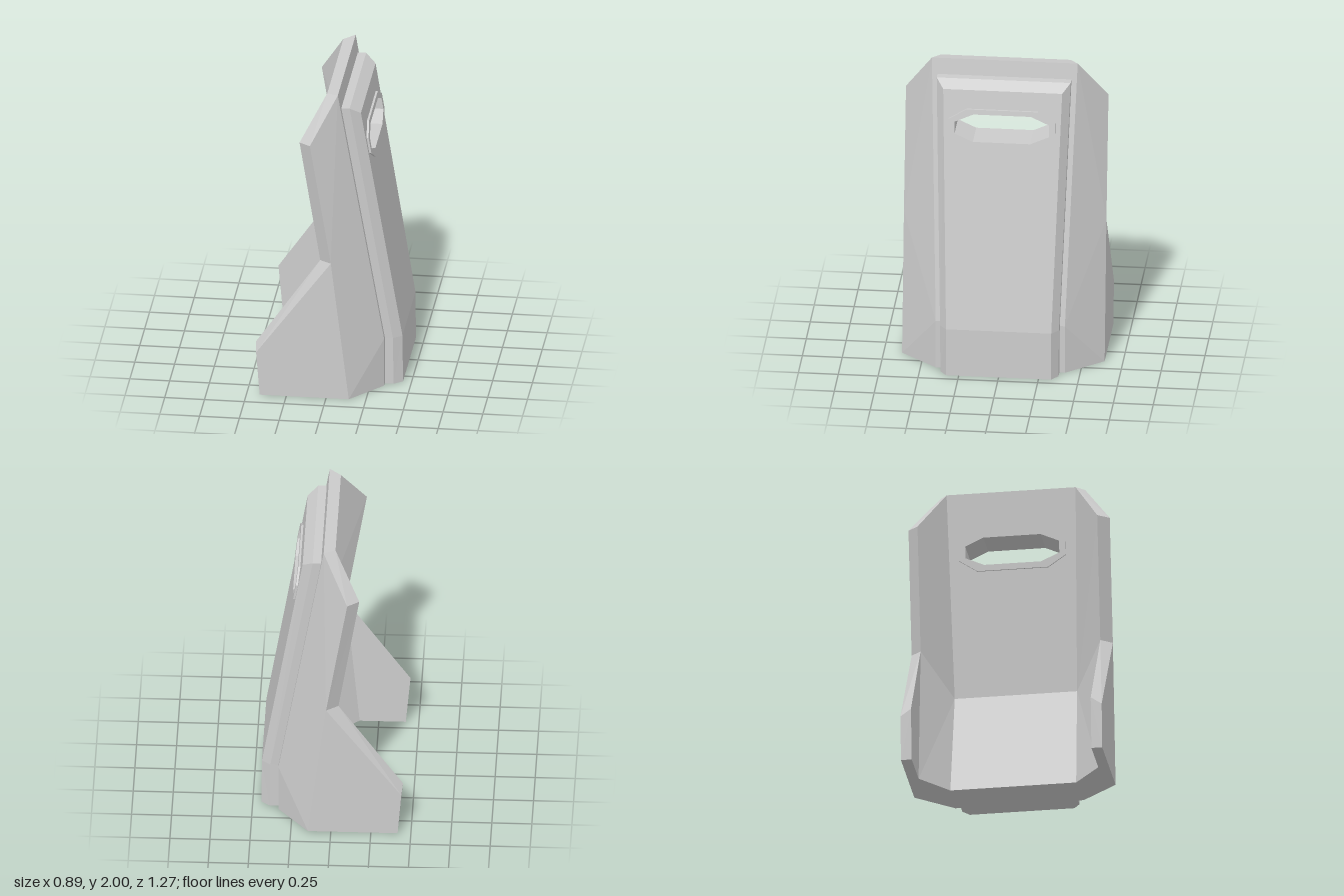
import * as THREE from 'three';

const mirror = p => [p[0], p[1], -p[2]];

// Collects polygons and turns them into one flat-shaded mesh
class Facets {
  constructor() { this.v = []; }
  // fan of triangles around the first point
  poly(...pts) {
    for (let i = 1; i < pts.length - 1; i++) this.v.push(...pts[0], ...pts[i], ...pts[i + 1]);
  }
  // polygon plus its copy on the other side of z = 0, split the same way
  pair(first, ...rest) {
    this.poly(first, ...rest);
    this.poly(mirror(first), ...rest.map(mirror).reverse());
  }
  // strip across the model between an edge and its mirror image
  span(a, b) { this.poly(a, b, mirror(b), mirror(a)); }
  // sloped face with a hole; x follows from y, dir is the x side it faces
  pierced(outline, hole, xOf, dir) {
    const to2 = p => new THREE.Vector2(-p[0], p[1]);
    const all = [...outline, ...hole];
    const tris = THREE.ShapeUtils.triangulateShape(outline.map(to2), [hole.map(to2)]);
    for (const t of tris) {
      const [a, b, c] = t.map(i => to2(all[i]));
      const area = (b.x - a.x) * (c.y - a.y) - (b.y - a.y) * (c.x - a.x);
      const pts = t.map(i => [xOf(all[i][1]), all[i][1], all[i][0]]);
      this.poly(...(area * dir > 0 ? pts : pts.reverse()));
    }
  }
  mesh(name) {
    const g = new THREE.BufferGeometry();
    g.setAttribute('position', new THREE.Float32BufferAttribute(this.v, 3));
    g.computeVertexNormals();
    const m = new THREE.Mesh(g, new THREE.MeshStandardMaterial({ color: 0xcccccc, flatShading: true }));
    m.name = name;
    return m;
  }
}

// x as a linear function of y through two points
const slope = (p, q) => y => p[0] + (q[0] - p[0]) * (y - p[1]) / (q[1] - p[1]);
// (z, y) outline of a symmetric trapezoid
const trapezoid = (p, q) => [[p[2], p[1]], [q[2], q[1]], [-q[2], q[1]], [-p[2], p[1]]];
// (z, y) outline of a symmetric octagon
const octagon = (zIn, zOut, yLow, yMidLow, yMidHigh, yHigh) => [
  [zIn, yHigh], [zOut, yMidHigh], [zOut, yMidLow], [zIn, yLow],
  [-zIn, yLow], [-zOut, yMidLow], [-zOut, yMidHigh], [-zIn, yHigh]];

const slotOuter = octagon(0.223, 0.337, 1.487, 1.56, 1.665, 1.731);
const slotInner = octagon(0.18, 0.296, 1.525, 1.575, 1.65, 1.7);

export function createModel() {
  const group = new THREE.Group();

  // Shield body: outer corners (capitals) and inner corners, on the +z side
  const T = [0.052, 2, 0.457], P = [-0.102, 1.725, 0.635], K = [0.03, 0.925, 0.635];
  const W = [-0.44, 0.29, 0.635], V = [-0.417, 0, 0.635], B = [0.143, 0, 0.635];
  const C = [0.337, 0, 0.405], F = [0.337, 0.32, 0.405];
  const t = [-0.02, 1.99, 0.407], p = [-0.175, 1.715, 0.567], k = [-0.045, 0.915, 0.567];
  const w = [-0.448, 0.335, 0.567], v = [-0.418, 0, 0.567], b = [-0.13, 0, 0.567];
  const c = [0.072, 0, 0.397], f = [0.182, 0.68, 0.386];
  const innerX = slope(t, f);

  const body = new Facets();
  body.pair(T, P, K, F);
  body.pair(B, C, F, K);
  body.pair(K, W, V, B);
  body.pair(f, k, p, t);
  body.pair(f, c, b, k);
  body.pair(k, b, v, w);
  // rim running from the top corner round the wing and under the foot
  const outer = [T, P, K, W, V, B, C], inner = [t, p, k, w, v, b, c];
  for (let i = 0; i < outer.length - 1; i++) body.pair(outer[i + 1], outer[i], inner[i], inner[i + 1]);
  body.span(t, T);
  body.span(F, C);
  body.span(C, c);
  body.span(c, f);
  body.pierced(trapezoid(T, F), slotOuter, slope(T, F), 1);
  body.pierced(trapezoid(t, f), slotOuter, innerX, -1);
  group.add(body.mesh('shieldBody'));

  // Bevelled front plate: face, bevel and back profiles from top to bottom
  const face = [[0.187, 1.85, 0.373], [0.443, 0.315, 0.33], [0.446, 0, 0.33]];
  const bevel = [[0.122, 1.897, 0.42], [0.388, 0.315, 0.373], [0.392, 0, 0.37]];
  const back = [[0.068, 1.897, 0.42], [0.33, 0.315, 0.373], [0.33, 0, 0.37]];
  const faceX = slope(face[0], face[1]);
  const plate = new Facets();
  for (const [a, m] of [[face, bevel], [bevel, back]]) {
    for (let i = 0; i < 2; i++) plate.pair(a[i], m[i], m[i + 1], a[i + 1]);
    plate.span(m[0], a[0]);
    plate.span(a[2], m[2]);
  }
  plate.span(face[1], face[2]);
  plate.pierced(trapezoid(face[0], face[1]), slotOuter, faceX, 1);
  group.add(plate.mesh('frontPlate'));

  // Window frame lining the viewing slot through plate and body
  const frontX = y => faceX(y) + 0.013, rearX = y => innerX(y) - 0.008;
  const frame = new Facets();
  frame.pierced(slotOuter, slotInner, frontX, 1);
  frame.pierced(slotOuter, slotInner, rearX, -1);
  for (const [ring, isOuter] of [[slotOuter, true], [slotInner, false]]) {
    ring.forEach(([z, y], i) => {
      const [z2, y2] = ring[(i + 1) % ring.length];
      const quad = [[frontX(y), y, z], [rearX(y), y, z], [rearX(y2), y2, z2], [frontX(y2), y2, z2]];
      // outer walls face away from the slot, inner walls into it
      const n = new THREE.Vector3().crossVectors(
        new THREE.Vector3(...quad[1]).sub(new THREE.Vector3(...quad[0])),
        new THREE.Vector3(...quad[2]).sub(new THREE.Vector3(...quad[0])));
      const facesOut = n.y * ((y + y2) / 2 - 1.612) + n.z * (z + z2) / 2 > 0;
      frame.poly(...(facesOut === isOuter ? quad : quad.reverse()));
    });
  }
  group.add(frame.mesh('windowFrame'));

  return group;
}
